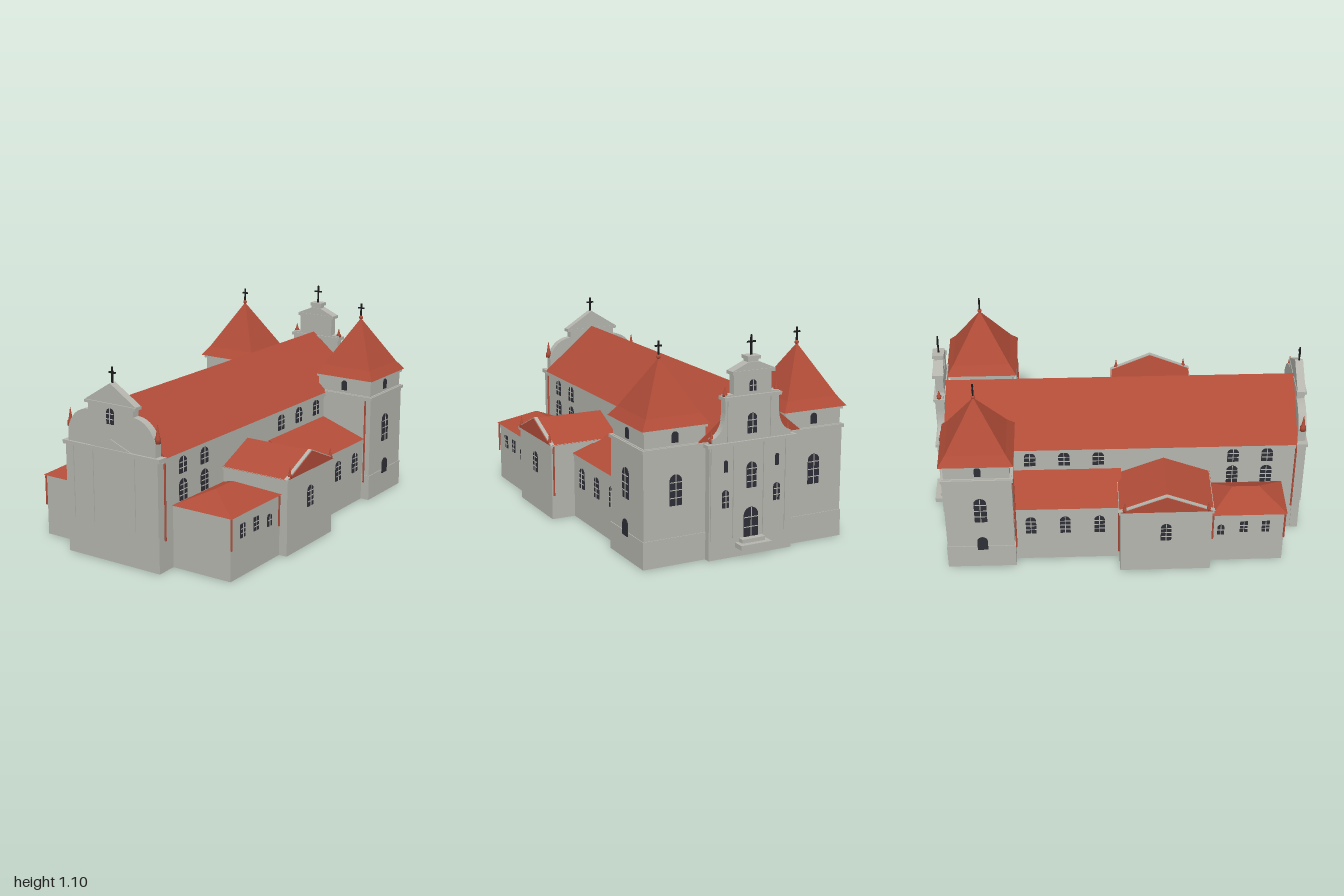
import * as THREE from 'three';

const mat = (name, color, side = THREE.FrontSide) => {
  const m = new THREE.MeshStandardMaterial({ color, side });
  m.name = name;
  return m;
};

export function createModel() {
  const model = new THREE.Group();
  model.name = 'church';
  const plaster = mat('grey plaster', 0xb4b4ad, THREE.DoubleSide);
  const tile = mat('red tile', 0xb04c38);
  const glass = mat('dark glass', 0x2d2d36);
  const iron = mat('black iron', 0x1b1b1d);

  const add = (name, geo, material, parent = model) => {
    const m = new THREE.Mesh(geo, material);
    m.name = name;
    parent.add(m);
    return m;
  };

  // Box given by its limits; open boxes have no floor
  const box = (name, x0, x1, y0, y1, z0, z1, material = plaster, open = false) => {
    const g = new THREE.BoxGeometry(x1 - x0, y1 - y0, z1 - z0);
    if (open) {
      const i = Array.from(g.index.array);
      i.splice(18, 6);
      g.clearGroups();
      g.setIndex(i);
    }
    g.translate((x0 + x1) / 2, (y0 + y1) / 2, (z0 + z1) / 2);
    return add(name, g, material);
  };

  // Solid between two level rectangles [x0, x1, z0, z1]; the upper may shrink to a ridge or point
  const roof = (name, b, y0, t, y1, material = tile) => {
    const ring = ([x0, x1, z0, z1], y) => [[x0, y, z1], [x1, y, z1], [x1, y, z0], [x0, y, z0]];
    const lo = ring(b, y0), hi = ring(t, y1), p = [];
    const quad = (a, c, d, e) => p.push(...a, ...c, ...d, ...a, ...d, ...e);
    for (let i = 0; i < 4; i++) {
      const j = (i + 1) % 4;
      quad(lo[i], lo[j], hi[j], hi[i]);
    }
    quad(lo[3], lo[2], lo[1], lo[0]);
    quad(...hi);
    const g = new THREE.BufferGeometry();
    g.setAttribute('position', new THREE.Float32BufferAttribute(p, 3));
    g.computeVertexNormals();
    return add(name, g, material);
  };

  // Thin window plate with glazing bars, turned to face a wall
  const turns = { front: 0, left: Math.PI / 2, back: Math.PI, right: -Math.PI / 2 };
  const windowAt = (x, y, z, w, h, facing, arched = true, bars = 2, name = 'window') => {
    const g = new THREE.Group();
    g.name = name;
    g.position.set(x, y, z);
    g.rotation.y = turns[facing];
    const s = new THREE.Shape();
    const r = w / 2, top = arched ? h - r : h;
    s.moveTo(-r, 0);
    s.lineTo(r, 0);
    s.lineTo(r, top);
    if (arched) s.absarc(0, top, r, 0, Math.PI, false);
    else s.lineTo(-r, top);
    add('pane', new THREE.ExtrudeGeometry(s, { depth: 0.005, bevelEnabled: false, curveSegments: 8 }), glass, g);
    if (bars) add('upright bar', new THREE.BoxGeometry(0.004, h, 0.003), plaster, g).position.set(0, h / 2, 0.006);
    for (let i = 1; i <= bars; i++) {
      add('cross bar', new THREE.BoxGeometry(w, 0.004, 0.003), plaster, g).position.set(0, h * i / (bars + 1), 0.006);
    }
    model.add(g);
  };

  const cross = (x, y, z, h, w) => {
    const g = new THREE.Group();
    g.name = 'cross';
    g.position.set(x, y, z);
    add('post', new THREE.BoxGeometry(0.008, h, 0.008), iron, g).position.y = h / 2;
    add('arms', new THREE.BoxGeometry(w, 0.008, 0.008), iron, g).position.y = h * 0.66;
    model.add(g);
  };

  const pinnacle = (x, y, z, h, r) => {
    const pts = [[0, 0], [r, 0], [r, h * 0.25], [r * 0.65, h * 0.35], [r * 0.2, h * 0.85], [0, h]];
    add('pinnacle', new THREE.LatheGeometry(pts.map(q => new THREE.Vector2(...q)), 10), tile).position.set(x, y, z);
  };

  const pipe = (x, y0, y1, z) =>
    add('drainpipe', new THREE.CylinderGeometry(0.005, 0.005, y1 - y0, 8), tile).position.set(x, (y0 + y1) / 2, z);

  // Symmetrical facade from a half outline; four-number points are curves (control, end)
  const facade = (name, cx, z0, depth, half) => {
    const s = new THREE.Shape();
    s.moveTo(0, 0);
    half.forEach(p => (p.length === 4 ? s.quadraticCurveTo(...p) : s.lineTo(...p)));
    const pts = s.getPoints(10);
    const full = [...pts, ...pts.slice(1, -1).reverse().map(p => new THREE.Vector2(-p.x, p.y))];
    const g = new THREE.ExtrudeGeometry(new THREE.Shape(full), { depth, bevelEnabled: false });
    add(name, g, plaster).position.set(cx, 0, z0);
  };

  // Nave
  const cx = -0.0375;
  box('nave', -0.322, 0.245, 0, 0.58, -0.9, 0.965, plaster, true);
  box('nave cornice', -0.334, 0.257, 0.56, 0.583, -0.9, 0.96);
  roof('nave roof', [-0.338, 0.262, -0.9, 0.945], 0.583, [cx, cx, -0.9, 0.945], 0.83);

  // Front facade
  facade('front facade', -0.04, 0.945, 0.042, [[0.287, 0], [0.287, 0.58], [0.272, 0.58], [0.272, 0.66],
    [0.235, 0.765, 0.14, 0.77], [0.14, 0.805], [0.155, 0.805], [0.155, 0.822], [0, 0.92]]);
  box('front cornice', -0.342, 0.262, 0.57, 0.59, 0.94, 0.998);
  box('gable ledge', -0.197, 0.117, 0.805, 0.82, 0.942, 0.994);
  for (const [a, b] of [[-0.327, -0.28], [-0.19, -0.155], [0.07, 0.105], [0.2, 0.247]]) {
    box('front pilaster', a, b, 0.19, 0.57, 0.985, 0.992);
  }
  roof('front pediment', [-0.165, 0.085, 0.985, 0.992], 0.59, [-0.04, -0.04, 0.985, 0.992], 0.64, plaster);
  windowAt(-0.04, 0.715, 0.987, 0.045, 0.08, 'front', true, 2);
  cross(-0.04, 0.915, 0.966, 0.082, 0.04);
  for (const x of [-0.312, 0.232]) pinnacle(x, 0.66, 0.968, 0.095, 0.016);
  for (const x of [-0.33, 0.25]) pipe(x, 0.16, 0.58, 0.94);

  // Back facade with stepped gable
  const bx = -0.025;
  facade('back facade', bx, -0.938, 0.042, [[0.235, 0], [0.235, 0.59], [0.22, 0.59], [0.22, 0.61],
    [0.155, 0.63, 0.15, 0.73], [0.15, 0.82], [0.105, 0.82], [0.105, 0.925], [0.03, 0.965], [0.03, 0.995], [0, 1.0]]);
  for (const [w, y] of [[0.25, 0.57], [0.16, 0.795], [0.118, 0.917], [0.036, 0.985]]) {
    box('back ledge', bx - w, bx + w, y, y + 0.017, -0.95, -0.89);
  }
  roof('gable cap', [bx - 0.118, bx + 0.118, -0.946, -0.893], 0.934, [bx - 0.03, bx + 0.03, -0.946, -0.893], 0.972, plaster);
  for (const s of [-1, 1]) {
    for (const x of [0.21, 0.085]) box('back pilaster', bx + s * x - 0.018, bx + s * x + 0.018, 0.1, 0.57, -0.944, -0.936);
    box('gable pilaster', bx + s * 0.12 - 0.018, bx + s * 0.12 + 0.018, 0.59, 0.795, -0.944, -0.936);
    windowAt(bx + s * 0.145, 0.26, -0.938, 0.036, 0.09, 'back', true, 2);
    windowAt(bx + s * 0.145, 0.44, -0.938, 0.02, 0.06, 'back', true, 0, 'niche');
    pinnacle(bx + s * 0.215, 0.587, -0.92, 0.07, 0.014);
    pinnacle(bx + s * 0.143, 0.812, -0.92, 0.05, 0.013);
  }
  windowAt(bx, 0.095, -0.938, 0.08, 0.15, 'back', true, 2, 'door');
  windowAt(bx, 0.345, -0.938, 0.055, 0.13, 'back', true, 3);
  windowAt(bx, 0.62, -0.938, 0.05, 0.1, 'back', true, 2);
  windowAt(bx, 0.83, -0.938, 0.035, 0.055, 'back', true, 1);
  cross(bx, 1.0, -0.918, 0.1, 0.046);
  box('lower step', -0.112, 0.062, 0.05, 0.074, -1.0, -0.936);
  box('upper step', -0.09, 0.04, 0.074, 0.094, -0.972, -0.936);

  // Parts on each side; the two sides differ slightly in size
  const sides = [
    { s: 1, face: 'left', nave: 0.245, aisle: 0.5, trans: 0.63, tz: [0.005, 0.44], annex: 0.585, az: [0.44, 0.872], ridge: 0.41, tower: [0.2, 0.545] },
    { s: -1, face: 'right', nave: -0.322, aisle: -0.527, trans: -0.637, tz: [0.005, 0.48], annex: -0.575, az: [0.48, 0.868], ridge: -0.45, tower: [-0.575, -0.24] },
  ];
  for (const { s, face, nave, aisle, trans, tz, annex, az, ridge, tower } of sides) {
    const span = (a, b) => [Math.min(a, b), Math.max(a, b)];
    const inner = nave - s * 0.03;

    // Aisle with lean-to roof
    box('aisle', ...span(inner, aisle), 0, 0.35, -0.56, 0.02, plaster, true);
    box('aisle cornice', ...span(inner, aisle + s * 0.006), 0.335, 0.35, -0.55, 0.01);
    roof('aisle roof', [...span(inner, aisle + s * 0.01), -0.56, 0.02], 0.35, [...span(inner, nave), -0.56, 0.02], 0.44);
    for (const z of [-0.1, -0.28, -0.46]) {
      windowAt(aisle, 0.18, z, 0.055, 0.11, face, true, 3);
      windowAt(nave, 0.47, z, 0.06, 0.085, face, true, 2);
    }
    for (const z of [0.61, 0.79]) {
      windowAt(nave, 0.47, z, 0.06, 0.085, face, true, 2);
      windowAt(nave, 0.33, z, 0.06, 0.11, face, true, 3);
    }

    // Side chapel with cross gable
    const [za, zb] = tz, zm = (za + zb) / 2;
    box('chapel', ...span(inner, trans), 0, 0.4, za, zb, plaster, true);
    box('chapel cornice', ...span(inner, trans + s * 0.008), 0.392, 0.408, za - 0.008, zb + 0.008);
    roof('chapel roof', [...span(inner - s * 0.1, trans), za - 0.01, zb + 0.01], 0.406, [...span(inner - s * 0.1, trans), zm, zm], 0.505);
    const cope = span(trans - s * 0.014, trans + s * 0.006);
    roof('chapel coping', [...cope, za - 0.012, zb + 0.012], 0.408, [...cope, zm, zm], 0.51, plaster);
    const ped = span(trans + s * 0.006, trans + s * 0.01);
    roof('chapel pediment', [...ped, za, zb], 0.408, [...ped, zm, zm], 0.505);
    for (const z of [za + 0.022, zb - 0.022]) pinnacle(trans, 0.41, z, 0.06, 0.011);
    windowAt(trans, 0.21, zm, 0.055, 0.11, face, true, 3);
    pipe(trans - s * 0.01, 0.13, 0.4, za - 0.006);

    // Low annex with hipped roof
    box('annex', ...span(inner, annex), 0, 0.325, az[0], az[1], plaster, true);
    roof('annex roof', [...span(nave, annex + s * 0.014), az[0], az[1] + 0.01], 0.325, [ridge, ridge, 0.6, 0.74], 0.405);
    windowAt(annex, 0.2, 0.77, 0.04, 0.07, face, false, 2);
    windowAt(annex, 0.2, 0.655, 0.04, 0.07, face, false, 2);
    windowAt(annex, 0.185, 0.535, 0.036, 0.065, face, true, 1);
    pipe(annex + s * 0.006, 0.16, 0.32, az[1]);
    pipe(annex + s * 0.006, 0.16, 0.32, az[0] + 0.012);

    // Tower with flared pyramid roof
    const [ta, tb] = tower, tm = s > 0 ? 0.373 : -0.409, t0 = -0.9, t1 = -0.547, tz0 = -0.723;
    box('tower', ta, tb, 0, 0.595, t0, t1, plaster, true);
    box('tower plinth', ta - 0.004, tb + 0.004, 0, 0.14, t0 - 0.004, t1 + 0.004, plaster, true);
    box('tower ledge', ta - 0.008, tb + 0.008, 0.575, 0.592, t0 - 0.008, t1 + 0.008);
    box('tower belfry', ta + 0.008, tb - 0.008, 0.592, 0.675, t0 + 0.008, t1 - 0.008);
    box('tower cornice', ta - 0.002, tb + 0.002, 0.67, 0.688, t0 - 0.002, t1 + 0.002);
    const rect = h => [tm - h, tm + h, tz0 - h - 0.008, tz0 + h + 0.008];
    roof('tower roof eave', rect(0.183), 0.686, rect(0.146), 0.735);
    roof('tower roof', rect(0.146), 0.735, [tm, tm, tz0, tz0], 0.99);
    add('tower ball', new THREE.SphereGeometry(0.011, 12, 8), tile).position.set(tm, 0.994, tz0);
    cross(tm, 1.0, tz0, 0.072, 0.036);
    const outer = s > 0 ? tb : ta;
    windowAt(outer, 0.31, -0.715, 0.065, 0.155, face, true, 3);
    windowAt(outer + s * 0.004, 0.12, -0.715, 0.055, 0.085, face, true, 0);
    windowAt(tm, 0.3, t0, 0.065, 0.155, 'back', true, 3);
    windowAt(tm, 0.61, t0 + 0.008, 0.034, 0.055, 'back', true, 0);
    windowAt(tm, 0.61, t1 - 0.008, 0.034, 0.055, 'front', true, 0);
    windowAt(outer - s * 0.008, 0.61, -0.717, 0.034, 0.055, face, true, 0);
    pipe(outer - s * 0.03, 0.1, 0.57, t1 + 0.007);
  }
  return model;
}
